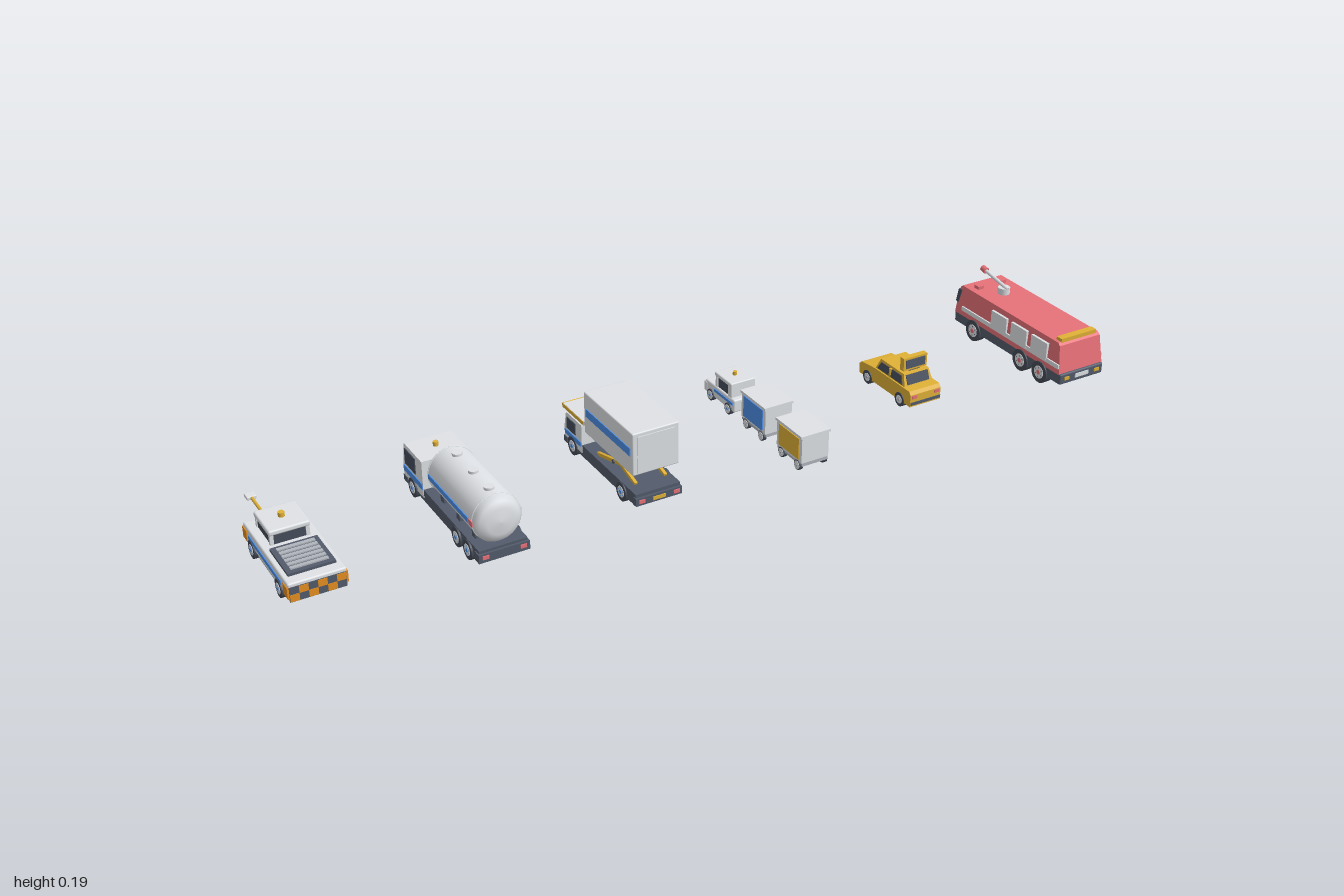
import * as THREE from 'three';
import { RoundedBoxGeometry } from 'three/addons/geometries/RoundedBoxGeometry.js';

const mat = (name, color) => {
  const m = new THREE.MeshStandardMaterial({ color });
  m.name = name;
  return m;
};
const M = {
  white: mat('palePaint', 0xdfe2e6), red: mat('redPaint', 0xea737a), yellow: mat('yellowPaint', 0xe0b136),
  blue: mat('blueStripe', 0x4f92ea), dark: mat('darkTrim', 0x535b6b), tire: mat('tireRubber', 0x454b57),
  glass: mat('darkGlass', 0x454e5c), orange: mat('orangePaint', 0xee9322), steel: mat('steel', 0xb0b5bc),
};

const add = (g, name, geo, m) => {
  const mesh = new THREE.Mesh(geo, m);
  mesh.name = name;
  g.add(mesh);
  return mesh;
};
// Box spanning y0..y1 and z0..z1, centred on x, with optional rounding
function box(g, name, m, w, y0, y1, z0, z1, x = 0, r = 0) {
  const h = y1 - y0, d = z1 - z0;
  const geo = r ? new RoundedBoxGeometry(w, h, d, 2, r) : new THREE.BoxGeometry(w, h, d);
  return add(g, name, geo.translate(x, (y0 + y1) / 2, (z0 + z1) / 2), m);
}
// Thin plates on both flanks of a body of width w
function flanks(g, name, m, w, y0, y1, z0, z1, t = 0.004) {
  for (const s of [-1, 1]) box(g, name, m, t, y0, y1, z0, z1, s * w / 2);
}
// Side profile of [z, y] points pushed out across x
function profile(g, name, m, w, pts, taper = 0) {
  const shape = new THREE.Shape(pts.map(p => new THREE.Vector2(...p)));
  const geo = new THREE.ExtrudeGeometry(shape, { depth: w, bevelEnabled: false });
  geo.translate(0, 0, -w / 2).rotateY(-Math.PI / 2);
  if (taper) {
    const p = geo.attributes.position, y0 = Math.min(...pts.map(q => q[1]));
    for (let i = 0; i < p.count; i++) p.setX(i, p.getX(i) * (1 - taper * (p.getY(i) - y0)));
    geo.computeVertexNormals();
  }
  return add(g, name, geo, m);
}
function cyl(g, name, m, r, h, x, y, z, axis = 'y', n = 20) {
  const geo = new THREE.CylinderGeometry(r, r, h, n);
  if (axis === 'x') geo.rotateZ(Math.PI / 2);
  if (axis === 'z') geo.rotateX(Math.PI / 2);
  return add(g, name, geo.translate(x, y, z), m);
}
// Tire, rim, hub and bolts on both sides of each axle; w is the outer track
function wheels(g, w, r, axles, hub, rim = 0.6) {
  const t = r * 0.7;
  for (const z of axles) for (const s of [-1, 1]) {
    const x = s * (w / 2 - t / 2);
    cyl(g, 'tire', M.tire, r, t, x, r, z, 'x', 24);
    cyl(g, 'rim', M.white, r * rim, t, x + s * 0.001, r, z, 'x');
    cyl(g, 'hub', hub, r * 0.22, t, x + s * 0.002, r, z, 'x', 12);
    for (let a = 0.5; a < 6; a++) {
      const q = a * Math.PI / 3, d = r * 0.42;
      cyl(g, 'bolt', hub === M.red ? M.dark : hub, r * 0.06, t, x + s * 0.0015, r + d * Math.sin(q), z + d * Math.cos(q), 'x', 6);
    }
  }
}
function lamps(g, m, x, y, z) {
  for (const s of [-1, 1]) box(g, 'lamp', m, 0.014, y - 0.004, y + 0.004, z - 0.002, z + 0.002, s * x);
}
const group = (name, x) => {
  const g = new THREE.Group();
  g.name = name;
  g.position.x = x;
  return g;
};
// Lorry cab whose nose is at z0
function cab(g, w, y0, y1, z0, z1) {
  const h = y1 - y0, wy = y0 + h * 0.46;
  profile(g, 'cab', M.white, w, [[z0, y0], [z0, wy], [z0 + 0.008, y1 - 0.004], [z0 + 0.013, y1], [z1, y1], [z1, y0]]);
  profile(g, 'windshield', M.glass, w * 0.92,
    [[z0 - 0.002, wy], [z0 + 0.005, y1 - 0.008], [z0 + 0.01, y1 - 0.008], [z0 + 0.005, wy]]);
  flanks(g, 'sideWindow', M.glass, w, wy, y1 - 0.01, z0 + 0.014, z0 + (z1 - z0) * 0.66);
  flanks(g, 'cabStripe', M.blue, w, y0 + h * 0.22, y0 + h * 0.38, z0 + 0.004, z1 - 0.002);
  box(g, 'grille', M.dark, w * 0.55, y0 + 0.006, y0 + h * 0.33, z0 - 0.002, z0 + 0.002);
  lamps(g, M.white, w * 0.38, y0 + 0.012, z0 - 0.001);
}

function pushbackTug() {
  const g = group('pushbackTug', -0.935);
  box(g, 'chassis', M.steel, 0.112, 0.01, 0.024, -0.085, 0.16);
  box(g, 'hull', M.white, 0.122, 0.022, 0.058, -0.095, 0.168, 0, 0.004);
  flanks(g, 'blueStripe', M.blue, 0.122, 0.036, 0.046, -0.06, 0.13);
  // Chequered end panels that wrap onto the flanks
  for (const z of [-0.095, 0.168]) {
    const inner = z - Math.sign(z) * 0.025;
    box(g, 'endPanel', M.dark, 0.118, 0.016, 0.05, z - 0.001, z + 0.001);
    for (let i = 0; i < 6; i++) {
      const y = i % 2 ? 0.033 : 0.017;
      box(g, 'hazardPatch', M.orange, 0.0195, y, y + 0.016, z - 0.002, z + 0.002, (i - 2.5) * 0.0195);
    }
    flanks(g, 'cornerPatch', M.orange, 0.122, 0.024, 0.05, Math.min(z, inner), Math.max(z, inner));
  }
  // Engine deck with slats
  box(g, 'engineDeck', M.dark, 0.1, 0.056, 0.064, 0.037, 0.142);
  for (let i = 0; i < 6; i++) box(g, 'slat', M.steel, 0.08, 0.062, 0.067, 0.047 + i * 0.015, 0.056 + i * 0.015);
  // Cab
  box(g, 'cabGlass', M.glass, 0.08, 0.056, 0.082, -0.066, 0.018);
  box(g, 'cabRoof', M.white, 0.088, 0.08, 0.092, -0.07, 0.022, 0, 0.004);
  for (const x of [-0.038, 0.038]) for (const z of [-0.064, 0.016])
    box(g, 'cabPost', M.white, 0.008, 0.056, 0.084, z - 0.004, z + 0.004, x);
  cyl(g, 'beacon', M.yellow, 0.007, 0.01, 0, 0.097, -0.024);
  wheels(g, 0.128, 0.02, [-0.045, 0.115], M.blue);
  // Tow bar
  cyl(g, 'towBar', M.yellow, 0.0035, 0.14, 0, 0.027, -0.16, 'z', 10);
  box(g, 'towHead', M.white, 0.022, 0.023, 0.031, -0.246, -0.224, 0, 0.002);
  return g;
}

function fuelTanker() {
  const g = group('fuelTanker', -0.565);
  box(g, 'chassis', M.dark, 0.108, 0.016, 0.044, -0.145, 0.23);
  cab(g, 0.11, 0.024, 0.112, -0.149, -0.045);
  box(g, 'frontBumper', M.dark, 0.112, 0.016, 0.03, -0.151, -0.13);
  box(g, 'rearBumper', M.dark, 0.114, 0.018, 0.038, 0.215, 0.235);
  lamps(g, M.red, 0.042, 0.03, 0.2355);
  // Tank with domed ends and blue side stripes
  const pts = [[0, -0.034], [0.03, -0.032], [0.045, -0.028], [0.053, -0.018], [0.053, 0.21], [0.045, 0.22], [0.03, 0.225], [0, 0.228]];
  const geo = new THREE.LatheGeometry(pts.map(p => new THREE.Vector2(...p)), 40);
  add(g, 'tank', geo.rotateX(Math.PI / 2).translate(0, 0.095, 0), M.white);
  flanks(g, 'tankStripe', M.blue, 0.104, 0.088, 0.1, -0.012, 0.185, 0.006);
  flanks(g, 'redMarker', M.red, 0.104, 0.088, 0.1, 0.188, 0.205, 0.006);
  for (const z of [-0.015, 0.2]) add(g, 'tankBand', new THREE.TorusGeometry(0.053, 0.0018, 6, 40).translate(0, 0.095, z), M.white);
  for (const z of [0.02, 0.1, 0.175]) {
    box(g, 'tankSaddle', M.dark, 0.08, 0.04, 0.06, z - 0.008, z + 0.008);
    cyl(g, 'hatch', M.white, 0.011, 0.008, 0, 0.149, z);
  }
  cyl(g, 'beacon', M.yellow, 0.006, 0.01, 0, 0.117, -0.095);
  wheels(g, 0.116, 0.022, [-0.1, 0.125, 0.18], M.blue);
  return g;
}

function cateringTruck() {
  const g = group('cateringTruck', -0.19);
  box(g, 'chassis', M.dark, 0.108, 0.016, 0.044, -0.12, 0.2);
  cab(g, 0.11, 0.024, 0.094, -0.124, -0.042);
  box(g, 'frontBumper', M.dark, 0.112, 0.016, 0.03, -0.127, -0.11);
  box(g, 'rearBumper', M.dark, 0.112, 0.018, 0.036, 0.192, 0.205);
  box(g, 'rearPlate', M.yellow, 0.03, 0.023, 0.031, 0.204, 0.207);
  lamps(g, M.red, 0.042, 0.028, 0.2055);
  // Scissor lift
  for (const x of [-0.036, 0.036]) {
    for (const s of [-1, 1]) {
      const arm = add(g, 'scissorArm', new THREE.BoxGeometry(0.007, 0.008, 0.16), M.yellow);
      arm.position.set(x + s * 0.004, 0.065, 0.085);
      arm.rotation.x = s * 0.26;
    }
    cyl(g, 'scissorPin', M.dark, 0.005, 0.02, x, 0.065, 0.085, 'x', 12);
  }
  // Raised body, door and loading platform
  box(g, 'cargoBody', M.white, 0.112, 0.086, 0.187, -0.025, 0.193, 0, 0.003);
  flanks(g, 'bodyStripe', M.blue, 0.112, 0.131, 0.15, -0.014, 0.184);
  box(g, 'frontDoor', M.white, 0.07, 0.108, 0.15, -0.029, -0.022);
  box(g, 'doorCanopy', M.white, 0.09, 0.15, 0.177, -0.039, -0.024);
  box(g, 'rearDoor', M.white, 0.09, 0.092, 0.178, 0.191, 0.195);
  box(g, 'platform', M.white, 0.11, 0.1, 0.11, -0.127, -0.025);
  box(g, 'platformEdge', M.yellow, 0.112, 0.099, 0.11, -0.13, -0.126);
  flanks(g, 'platformRail', M.yellow, 0.11, 0.1, 0.109, -0.128, -0.03, 0.002);
  wheels(g, 0.114, 0.022, [-0.085, 0.14], M.blue);
  return g;
}

function baggageTrain() {
  const g = group('baggageTrain', 0.183);
  // Tractor
  box(g, 'tractorBase', M.white, 0.068, 0.012, 0.044, -0.172, -0.045, 0, 0.004);
  box(g, 'noseBumper', M.white, 0.072, 0.014, 0.04, -0.176, -0.162, 0, 0.004);
  flanks(g, 'tractorStripe', M.blue, 0.068, 0.03, 0.037, -0.13, -0.05);
  box(g, 'cabinGlass', M.glass, 0.058, 0.042, 0.072, -0.128, -0.064);
  box(g, 'cabinRoof', M.white, 0.066, 0.07, 0.08, -0.134, -0.06, 0, 0.003);
  box(g, 'cabinBack', M.white, 0.064, 0.042, 0.074, -0.074, -0.06);
  for (const x of [-0.028, 0.028]) box(g, 'cabinPost', M.white, 0.007, 0.042, 0.073, -0.13, -0.122, x);
  cyl(g, 'beacon', M.yellow, 0.005, 0.009, 0, 0.084, -0.097);
  wheels(g, 0.074, 0.014, [-0.146, -0.068], M.blue, 0.75);
  // Two curtained carts
  for (const [z0, curtain] of [[-0.01, M.blue], [0.138, M.yellow]]) {
    const z1 = z0 + 0.1;
    box(g, 'cartFrame', M.steel, 0.066, 0.014, 0.022, z0, z1);
    box(g, 'cartBox', M.white, 0.07, 0.022, 0.086, z0, z1);
    box(g, 'cartRoof', M.white, 0.076, 0.084, 0.09, z0 - 0.002, z1 + 0.002);
    flanks(g, 'curtain', curtain, 0.07, 0.028, 0.08, z0 + 0.01, z1 - 0.01);
    wheels(g, 0.072, 0.012, [z0 + 0.02, z1 - 0.016], M.steel, 0.8);
    box(g, 'hitch', M.yellow, 0.006, 0.015, 0.019, z0 - 0.05, z0 + 0.08);
  }
  return g;
}

function guideCar() {
  const g = group('guideCar', 0.555);
  profile(g, 'carBody', M.yellow, 0.086,
    [[-0.062, 0.014], [-0.064, 0.038], [-0.055, 0.046], [0, 0.052], [0.134, 0.052], [0.14, 0.044], [0.14, 0.014]]);
  profile(g, 'cabin', M.yellow, 0.08, [[-0.004, 0.05], [0.01, 0.08], [0.1, 0.08], [0.112, 0.05]], 4);
  profile(g, 'sideGlass', M.glass, 0.082, [[0.005, 0.055], [0.015, 0.074], [0.094, 0.074], [0.102, 0.055]], 4);
  box(g, 'doorPillar', M.yellow, 0.0822, 0.052, 0.075, 0.05, 0.057);
  profile(g, 'windshield', M.glass, 0.062, [[-0.003, 0.055], [0.007, 0.077], [0.011, 0.076], [0.002, 0.054]]);
  profile(g, 'rearWindow', M.glass, 0.062, [[0.1115, 0.055], [0.106, 0.054], [0.098, 0.076], [0.1025, 0.077]]);
  // Roof sign with a dark panel on each face
  box(g, 'signFoot', M.dark, 0.03, 0.078, 0.088, 0.084, 0.092);
  box(g, 'signBoard', M.yellow, 0.066, 0.084, 0.116, 0.081, 0.095);
  box(g, 'signPanel', M.dark, 0.054, 0.089, 0.111, 0.0795, 0.0965);
  for (const z of [-0.063, 0.14]) box(g, 'bumper', M.dark, 0.084, 0.018, 0.025, z - 0.002, z + 0.002);
  lamps(g, M.white, 0.032, 0.034, -0.064);
  lamps(g, M.red, 0.032, 0.038, 0.14);
  wheels(g, 0.09, 0.017, [-0.028, 0.1], M.steel);
  return g;
}

function fireTruck() {
  const g = group('fireTruck', 0.932);
  box(g, 'skirt', M.dark, 0.13, 0.023, 0.05, -0.157, 0.245, 0, 0.004);
  profile(g, 'body', M.red, 0.13, [[-0.157, 0.048], [-0.154, 0.075], [-0.147, 0.118], [-0.141, 0.124],
    [0.221, 0.124], [0.228, 0.118], [0.24, 0.048]], 1);
  flanks(g, 'sideBand', M.white, 0.13, 0.062, 0.073, -0.13, 0.236);
  for (const z of [0.134, 0.059, -0.016]) flanks(g, 'locker', M.white, 0.127, 0.064, 0.11, z, z + 0.058, 0.008);
  profile(g, 'windshield', M.glass, 0.128, [[-0.139, 0.113], [-0.15, 0.113], [-0.158, 0.077], [-0.148, 0.077]]);
  lamps(g, M.white, 0.045, 0.06, -0.157);
  lamps(g, M.yellow, 0.045, 0.038, 0.2455);
  box(g, 'rearPlate', M.white, 0.04, 0.033, 0.043, 0.243, 0.247);
  // Roof lights
  box(g, 'rearLightBar', M.yellow, 0.104, 0.122, 0.132, 0.205, 0.223);
  for (const x of [-0.035, 0.035]) box(g, 'beacon', M.red, 0.016, 0.122, 0.132, -0.116, -0.1, x);
  // Water cannon
  cyl(g, 'turretBase', M.white, 0.015, 0.016, 0, 0.132, -0.056);
  const cannon = new THREE.Group();
  cannon.name = 'cannon';
  cannon.position.set(0, 0.14, -0.046);
  cannon.rotation.x = 0.18;
  cyl(cannon, 'barrel', M.white, 0.0045, 0.09, 0, 0, -0.04, 'z', 14);
  cyl(cannon, 'nozzle', M.red, 0.008, 0.015, 0, 0, -0.09, 'z', 14);
  g.add(cannon);
  wheels(g, 0.136, 0.027, [0.173, 0.102, -0.08], M.red);
  return g;
}

export function createModel() {
  const model = new THREE.Group();
  model.name = 'airportVehicles';
  model.add(pushbackTug(), fuelTanker(), cateringTruck(), baggageTrain(), guideCar(), fireTruck());
  return model;
}
